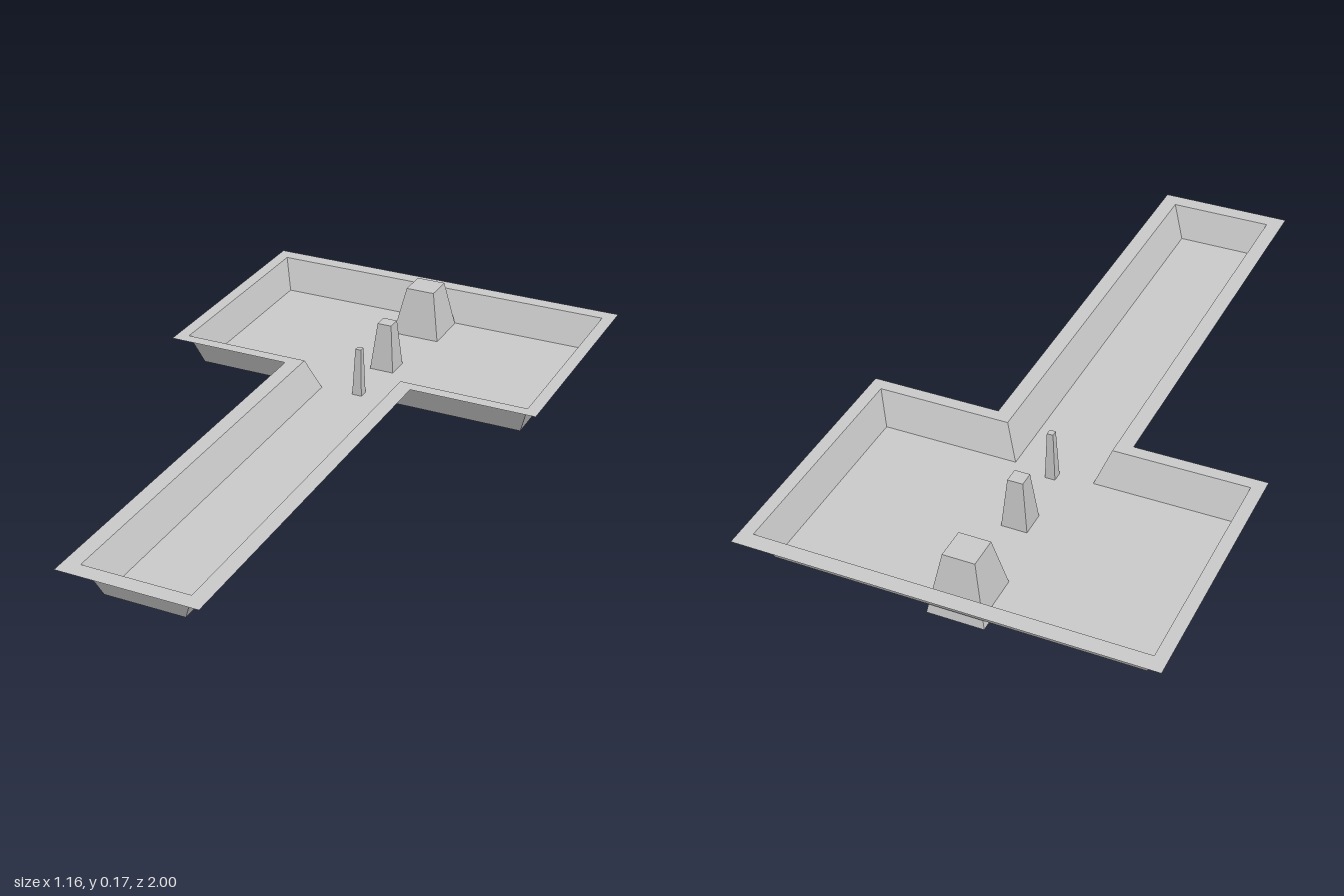
import * as THREE from 'three';

const RIM_Y = 0.125, FLOOR_Y = 0.028;

// T-shaped outline: wide head at the back, narrow channel to the front, as [x, z]
function outline(headX, stemX, backZ, shoulderZ, frontZ) {
  const half = [[stemX, frontZ], [stemX, shoulderZ], [headX, shoulderZ], [headX, backZ]];
  return [...half, ...half.map(([x, z]) => [-x, z]).reverse()];
}

const toPoints = (ring) => ring.map(([x, z]) => new THREE.Vector2(x, -z));

// Flat horizontal sheet from an outline, with an optional opening
function sheet(ring, y, opening) {
  const shape = new THREE.Shape(toPoints(ring));
  if (opening) shape.holes.push(new THREE.Path(toPoints(opening)));
  return new THREE.ShapeGeometry(shape).rotateX(-Math.PI / 2).translate(0, y, 0);
}

// Sloping walls joining an upper and a lower outline
function walls(upper, lower) {
  const pos = [];
  upper.forEach(([ax, az], i) => {
    const j = (i + 1) % upper.length;
    const a = [ax, RIM_Y, az], b = [upper[j][0], RIM_Y, upper[j][1]];
    const c = [lower[j][0], FLOOR_Y, lower[j][1]], d = [lower[i][0], FLOOR_Y, lower[i][1]];
    pos.push(...a, ...d, ...c, ...a, ...c, ...b);
  });
  const geo = new THREE.BufferGeometry();
  geo.setAttribute('position', new THREE.Float32BufferAttribute(pos, 3));
  geo.computeVertexNormals();
  return geo;
}

export function createModel() {
  const group = new THREE.Group();
  const material = new THREE.MeshStandardMaterial({
    color: 0xcccccc, flatShading: true, side: THREE.DoubleSide,
  });
  const add = (name, geometry) => {
    const mesh = new THREE.Mesh(geometry, material);
    mesh.name = name;
    group.add(mesh);
    return mesh;
  };

  const rimEdge = outline(0.58, 0.2, -1, -0.25, 1);
  const basinTop = outline(0.543, 0.154, -0.953, -0.287, 0.952);
  const basinFloor = outline(0.512, 0.115, -0.916, -0.325, 0.916);

  // Basin: thin flat rim, sloping walls and floor
  add('rim', sheet(rimEdge, RIM_Y, basinTop));
  add('basinWalls', walls(basinTop, basinFloor));
  add('basinFloor', sheet(basinFloor, FLOOR_Y));

  // Tapered square posts standing through the floor: z, half width at top and bottom
  const posts = [
    ['largePost', -0.838, 0.045, 0.08],
    ['mediumPost', -0.54, 0.022, 0.04],
    ['smallPost', -0.338, 0.009, 0.016],
  ];
  const height = 0.175;
  for (const [name, z, top, bottom] of posts) {
    const geo = new THREE.CylinderGeometry(top * Math.SQRT2, bottom * Math.SQRT2, height, 4)
      .rotateY(Math.PI / 4);
    add(name, geo).position.set(0, height / 2, z);
  }
  return group;
}
